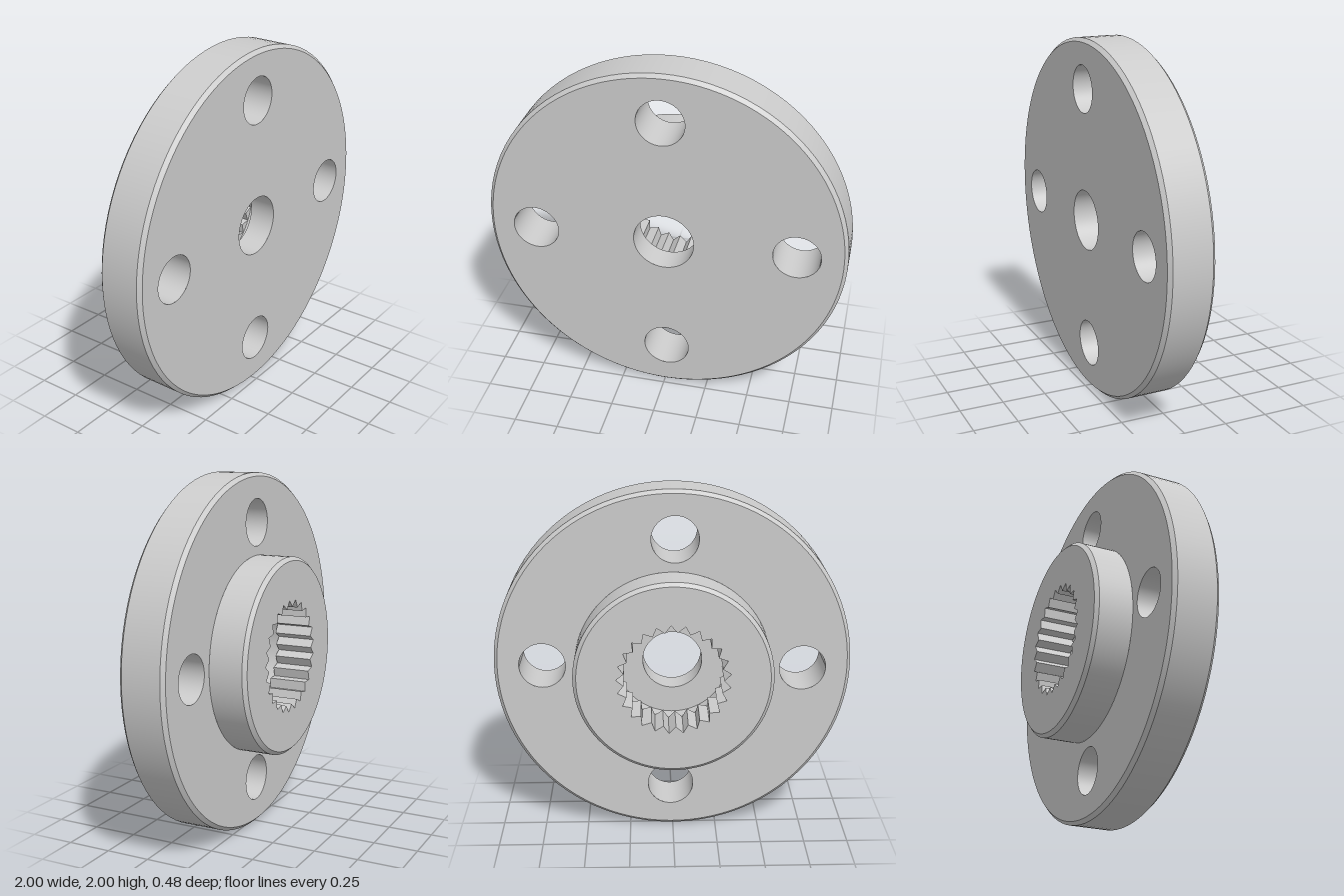
import * as THREE from 'three';
import { mergeGeometries } from 'three/addons/utils/BufferGeometryUtils.js';

const SEG = 96;
const FRONT = 0.235, PLATE_BACK = -0.025, HUB_BACK = -0.235, TEETH_END = -0.015, FLOOR = 0.085;
const BORE = 0.168, RECESS = 0.318, HUB = 0.55, HOLE = 0.13, HOLE_RING = 0.73, CH = 0.02;

// Revolve a [radius, z] path about the z axis, one band per segment so edges stay crisp
function revolve(path) {
  const bands = [];
  for (let i = 0; i < path.length - 1; i++) {
    const pts = [path[i], path[i + 1]].map(([r, z]) => new THREE.Vector2(r, z));
    bands.push(new THREE.LatheGeometry(pts, SEG).rotateX(Math.PI / 2));
  }
  return mergeGeometries(bands);
}

function circle(Type, r, x = 0, y = 0) {
  return new Type().absarc(x, y, r, 0, Math.PI * 2, false);
}

const holeCentres = [0, 1, 2, 3].map((i) => {
  const a = (i * Math.PI) / 2;
  return [HOLE_RING * Math.cos(a), HOLE_RING * Math.sin(a)];
});

// Flat disc face with the central opening and the four bolt holes
function plateFace(inner) {
  const s = circle(THREE.Shape, 1 - CH);
  s.holes.push(circle(THREE.Path, inner));
  for (const [x, y] of holeCentres) s.holes.push(circle(THREE.Path, HOLE, x, y));
  return new THREE.ShapeGeometry(s, SEG);
}

export function createModel() {
  const model = new THREE.Group();
  model.name = 'splinedFlange';
  const body = new THREE.Group();
  body.name = 'flangeBody';
  model.add(body);
  const material = new THREE.MeshStandardMaterial({ color: 0xcccccc });
  const add = (name, geometry) => {
    const mesh = new THREE.Mesh(geometry, material);
    mesh.name = name;
    body.add(mesh);
    return mesh;
  };

  // Plate: chamfered rim and two drilled faces
  add('plateRim', revolve([
    [1 - CH, PLATE_BACK], [1, PLATE_BACK + CH], [1, FRONT - CH], [1 - CH, FRONT],
  ]));
  add('plateFront', plateFace(BORE).translate(0, 0, FRONT));
  add('plateBack', plateFace(HUB).rotateY(Math.PI).translate(0, 0, PLATE_BACK));
  const holeWall = revolve([[HOLE, FRONT], [HOLE, PLATE_BACK]]);
  for (const [x, y] of holeCentres) add('boltHole', holeWall).position.set(x, y, 0);

  // Hub: rear collar with a chamfered outer edge
  add('hub', revolve([
    [RECESS, HUB_BACK], [HUB - CH, HUB_BACK], [HUB, HUB_BACK + CH], [HUB, PLATE_BACK],
  ]));

  // Stepped bore: narrow through hole, floor and wide recess
  add('bore', revolve([
    [BORE, FRONT], [BORE, FLOOR], [RECESS, FLOOR], [RECESS, TEETH_END],
  ]));

  // Internal spline: ring of V-shaped teeth at the hub's mouth
  const teeth = 25;
  const zigzag = [];
  for (let i = 0; i < teeth * 2; i++) {
    const a = (i * Math.PI) / teeth, r = i % 2 ? 0.275 : RECESS - 0.003;
    zigzag.push(new THREE.Vector2(r * Math.cos(a), r * Math.sin(a)));
  }
  const ring = circle(THREE.Shape, RECESS);
  ring.holes.push(new THREE.Path(zigzag));
  add('splineTeeth', new THREE.ExtrudeGeometry(ring, {
    depth: TEETH_END - HUB_BACK, bevelEnabled: false, curveSegments: SEG,
  }).translate(0, 0, HUB_BACK));

  // Slight lean and twist of the whole part
  body.rotation.set(0.008, 0, 0.018);
  body.position.y = 1;
  return model;
}
